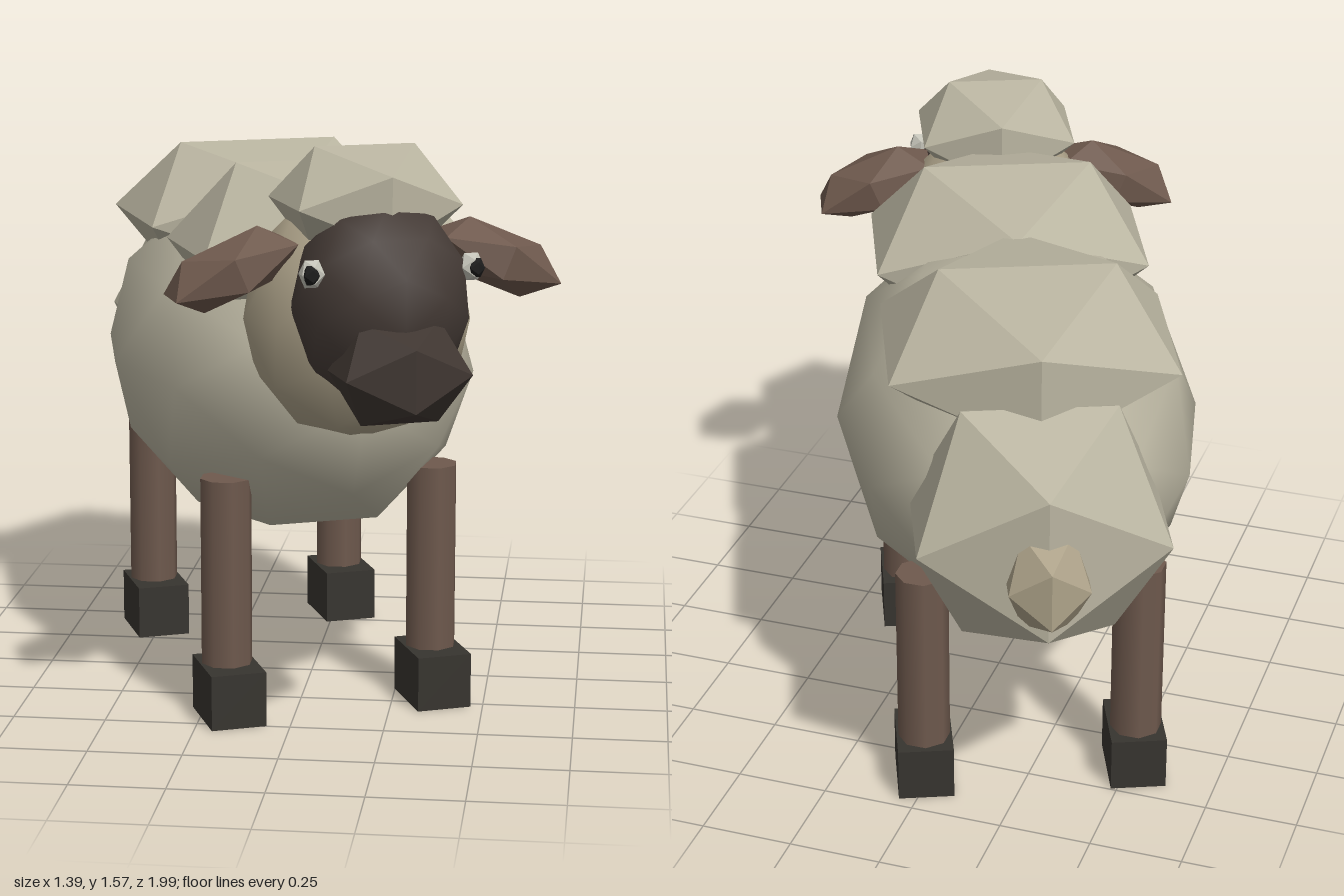
import * as THREE from 'three';

const mat = (color, flatShading) => new THREE.MeshStandardMaterial({ color, flatShading });
const wool = 0xb9b4a0, tan = 0xada289, face = 0x453b36, brown = 0x6e594d, hoofDark = 0x37342f;

export function createModel() {
  const model = new THREE.Group();
  model.name = 'sheep';

  // The animal stands turned towards its own left
  const sheep = new THREE.Group();
  sheep.name = 'turnedSheep';
  sheep.rotation.y = 0.4;
  sheep.position.set(-0.085, 0, -0.1);
  model.add(sheep);

  const add = (name, geometry, material, x, y, z) => {
    const mesh = new THREE.Mesh(geometry, material);
    mesh.name = name;
    mesh.position.set(x, y, z);
    sheep.add(mesh);
    return mesh;
  };
  // Stretched icosahedra: faceted lumps and smooth rounded forms
  const lump = (name, color, pos, radii) => {
    const m = add(name, new THREE.IcosahedronGeometry(1, 0), mat(color, true), ...pos);
    m.scale.set(...radii);
    return m;
  };
  const round = (name, color, pos, radii) => {
    const m = add(name, new THREE.IcosahedronGeometry(1, 1), mat(color, false), ...pos);
    m.scale.set(...radii);
    return m;
  };

  // Body and neck
  round('body', wool, [0, 0.9, 0], [0.49, 0.49, 0.76]);
  round('neck', tan, [0, 1.13, 0.67], [0.3, 0.33, 0.29]);

  // Wool tufts and tail
  lump('shoulderWool', wool, [0, 1.26, 0.33], [0.433, 0.262, 0.39]);
  lump('backWool', wool, [0, 1.26, -0.29], [0.433, 0.24, 0.45]);
  lump('rumpWool', wool, [0, 0.92, -0.637], [0.375, 0.375, 0.31]);
  lump('tail', tan, [0, 0.88, -0.855], [0.12, 0.15, 0.14]);

  // Head
  round('head', face, [0, 1.19, 0.87], [0.23, 0.268, 0.22]).rotation.x = 0.25;
  lump('muzzle', 0x3f3631, [0, 1.045, 1.034], [0.19, 0.15, 0.15]);
  lump('headWool', wool, [0, 1.43, 0.738], [0.25, 0.165, 0.27]);

  for (const side of [1, -1]) {
    const label = side > 0 ? 'left' : 'right';

    // Drooping ear and eye
    lump(label + 'Ear', brown, [side * 0.35, 1.27, 0.74], [0.2, 0.085, 0.13]).rotation.z = -side * 0.4;
    lump(label + 'Eye', 0xc4c3b8, [side * 0.205, 1.288, 0.965], [0.034, 0.04, 0.034]);
    lump(label + 'Pupil', 0x1c1c1c, [side * 0.212, 1.288, 0.985], [0.022, 0.028, 0.022]);

    // Legs and hooves
    for (const end of [1, -1]) {
      const part = label + (end > 0 ? 'Front' : 'Back');
      const x = side * 0.288, z = end * 0.435;
      const leg = new THREE.CylinderGeometry(0.07, 0.07, 0.56, 8);
      add(part + 'Leg', leg, mat(brown, false), x, 0.38, z);
      add(part + 'Hoof', new THREE.BoxGeometry(0.15, 0.15, 0.21), mat(hoofDark, true), x, 0.075, z + 0.02);
    }
  }
  return model;
}
